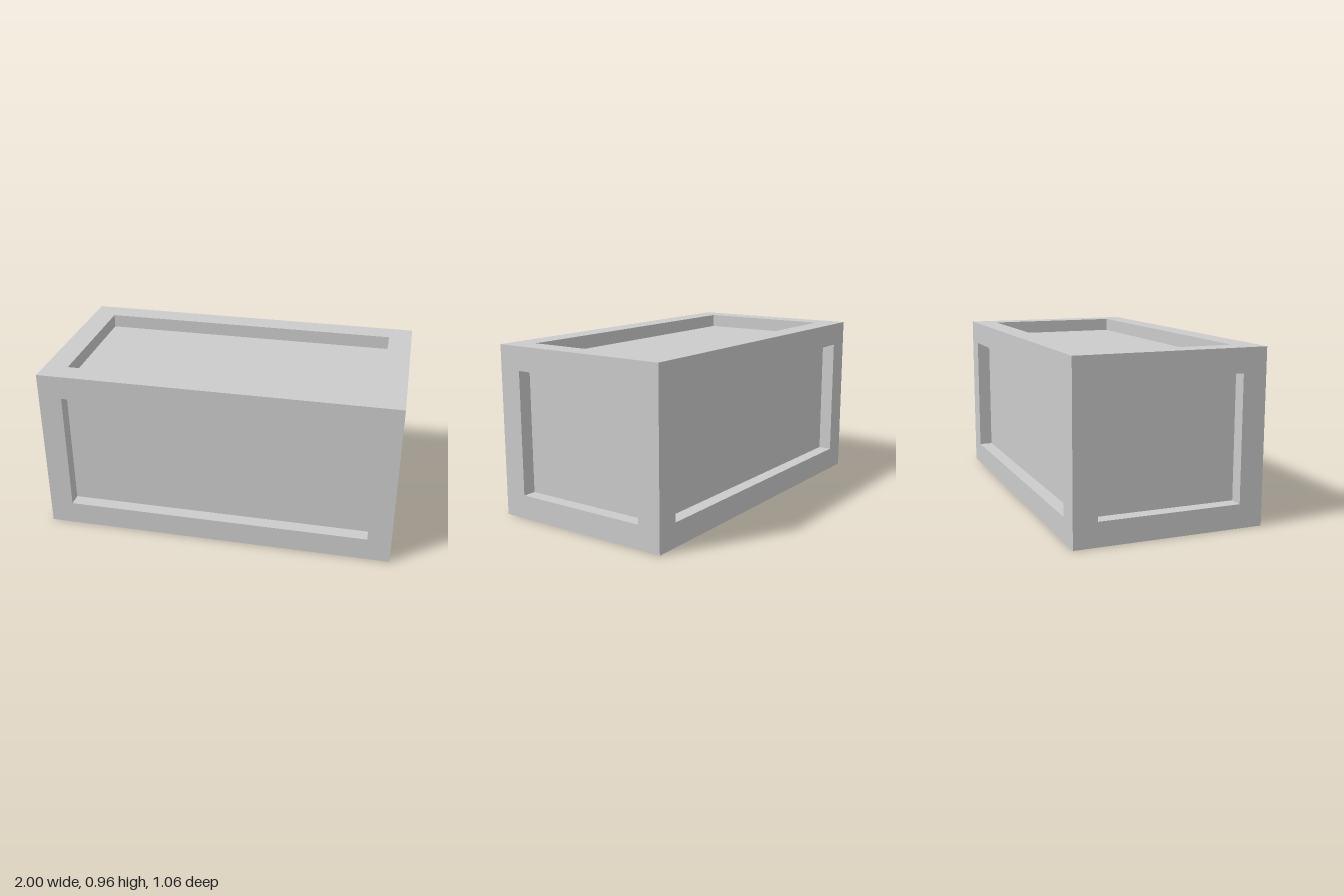
import * as THREE from 'three';
import { mergeGeometries } from 'three/addons/utils/BufferGeometryUtils.js';

const W = 2, H = 0.96, D = 1.064;   // outer size of the crate
const RIM = 0.133, DEPTH = 0.077;   // rim width and panel recess

// Corners of a w x h rectangle at height z, counter-clockwise seen from +z
const loop = (w, h, z) =>
  [[-1, -1], [1, -1], [1, 1], [-1, 1]].map(([x, y]) => [x * w / 2, y * h / 2, z]);

// Flat-shaded bands joining each loop to the next
function bands(loops) {
  const pos = [];
  for (let k = 0; k + 1 < loops.length; k++) {
    const a = loops[k], b = loops[k + 1];
    for (let i = 0; i < 4; i++) {
      const j = (i + 1) % 4;
      pos.push(...a[i], ...a[j], ...b[j], ...a[i], ...b[j], ...b[i]);
    }
  }
  const geo = new THREE.BufferGeometry();
  geo.setAttribute('position', new THREE.Float32BufferAttribute(pos, 3));
  geo.computeVertexNormals();
  return geo;
}

export function createModel() {
  const crate = new THREE.Group();
  crate.name = 'crate';
  const material = new THREE.MeshStandardMaterial({ color: 0xcccccc, flatShading: true });

  // Each side: name, width, height, distance from centre, turn about x and y
  const q = Math.PI / 2;
  const sides = [
    ['front', W, H, D / 2, 0, 0],
    ['back', W, H, D / 2, 0, 2 * q],
    ['left', D, H, W / 2, 0, q],
    ['right', D, H, W / 2, 0, -q],
    ['top', W, D, H / 2, -q, 0],
    ['bottom', W, D, H / 2, q, 0],
  ];

  const frameParts = [];
  for (const [name, w, h, dist, rx, ry] of sides) {
    const iw = w - 2 * RIM, ih = h - 2 * RIM;
    const place = (geo) => geo.rotateX(rx).rotateY(ry).translate(0, H / 2, 0);

    // Rim and the walls of its recess
    frameParts.push(place(bands([
      loop(w, h, dist), loop(iw, ih, dist), loop(iw, ih, dist - DEPTH),
    ])));

    // Sunken panel
    const panel = new THREE.Mesh(
      place(new THREE.PlaneGeometry(iw, ih).translate(0, 0, dist - DEPTH)), material);
    panel.name = name + 'Panel';
    crate.add(panel);
  }

  const frame = new THREE.Mesh(mergeGeometries(frameParts), material);
  frame.name = 'frame';
  crate.add(frame);
  return crate;
}
